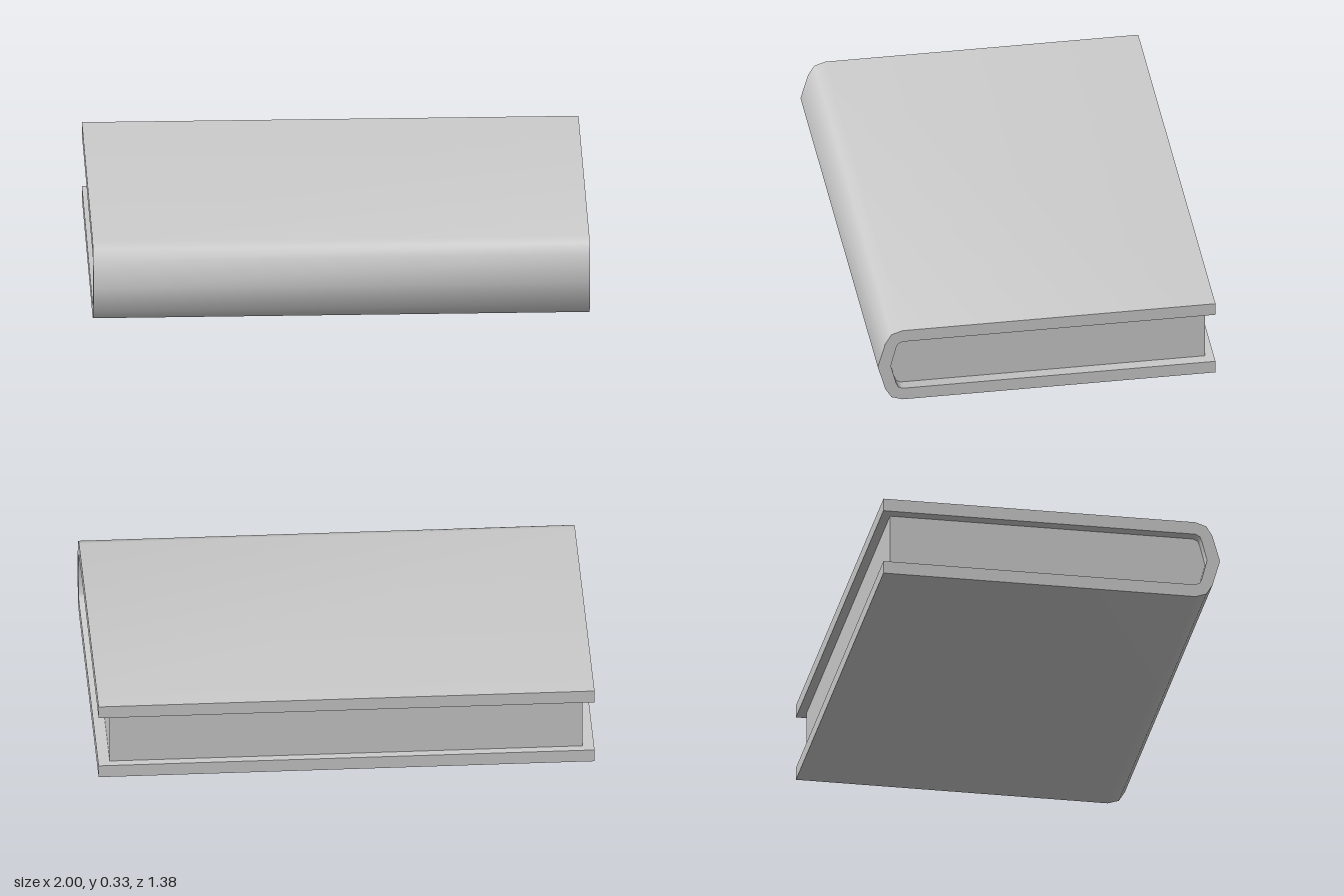
import * as THREE from 'three';
import { toCreasedNormals } from 'three/addons/utils/BufferGeometryUtils.js';

const MID = 0.165; // half the book's thickness
const BACK = -0.688;

// Upper half of each spine curve as [z, y], from the flat board to the nose
const OUTER = [[0.587, 0.33], [0.632, 0.315], [0.657, 0.274], [0.688, MID]];
const INNER = [[0.587, 0.277], [0.605, 0.268], [0.613, 0.25], [0.635, MID]];

// Full curve from top to bottom, mirrored about the middle height
function mirrored(half) {
  const lower = half.slice(0, -1).reverse().map(([z, y]) => [z, 2 * MID - y]);
  return [...half, ...lower];
}

// Extrude a [z, y] outline along x, centred, with a smooth spine and sharp edges
function extrudeAlongX(name, outline, width, material) {
  const shape = new THREE.Shape(outline.map(([z, y]) => new THREE.Vector2(z, y)));
  const geometry = new THREE.ExtrudeGeometry(shape, { depth: width, bevelEnabled: false });
  geometry.translate(0, 0, -width / 2);
  geometry.rotateY(-Math.PI / 2);
  const mesh = new THREE.Mesh(toCreasedNormals(geometry, 0.9), material);
  mesh.name = name;
  return mesh;
}

export function createModel() {
  const group = new THREE.Group();
  group.name = 'book';
  const material = new THREE.MeshStandardMaterial({ color: 0xcccccc });

  const outer = mirrored(OUTER);
  const inner = mirrored(INNER);

  // Cover: two boards joined by the rounded spine
  const coverOutline = [
    [BACK, 2 * MID], ...outer, [BACK, 0],
    [BACK, 0.053], ...inner.slice().reverse(), [BACK, 0.277],
  ];
  group.add(extrudeAlongX('cover', coverOutline, 2, material));

  // Page block: fills the cover, set back from the three open edges
  const pageBack = -0.653;
  const pageOutline = [[pageBack, 0.277], ...inner, [pageBack, 0.053]];
  group.add(extrudeAlongX('pages', pageOutline, 1.906, material));

  return group;
}
